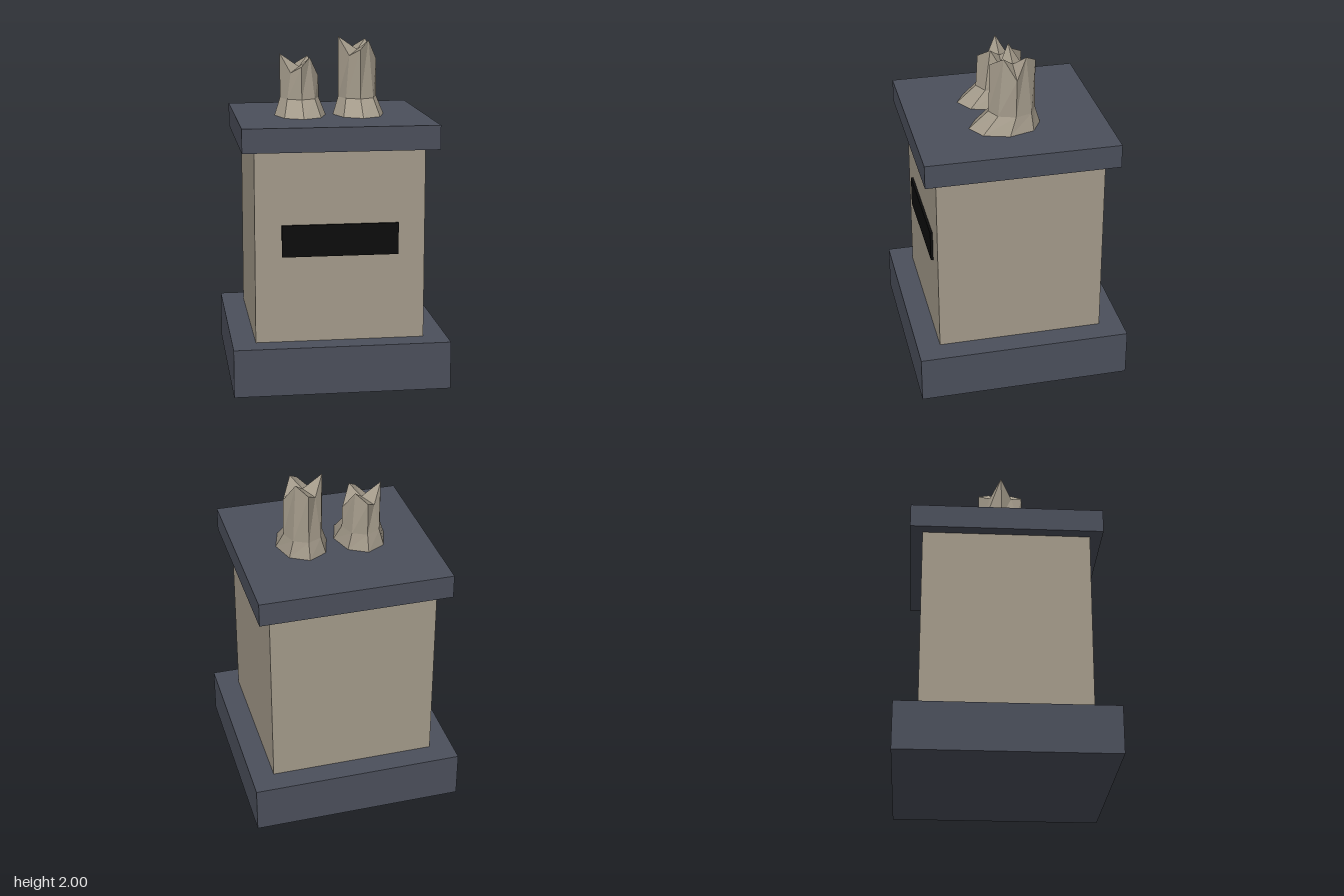
import * as THREE from 'three';

const slate = new THREE.MeshStandardMaterial({ color: 0x4b4f5b });
slate.name = 'slate';
const stone = new THREE.MeshStandardMaterial({ color: 0xa39a8a, flatShading: true });
stone.name = 'stone';
const black = new THREE.MeshStandardMaterial({ color: 0x0c0c0c });
black.name = 'black';

function block(name, material, w, h, d, y, z = 0) {
  const mesh = new THREE.Mesh(new THREE.BoxGeometry(w, h, d), material);
  mesh.name = name;
  mesh.position.set(0, y + h / 2, z);
  return mesh;
}

// Eight-sided broken foot: flared sole, ankle, jagged top sinking to a centre point
function brokenFoot(name, x, lowered) {
  const SIDES = 8;
  const jagged = [1.865, 1.98, 1.93, 1.89, 2.0, 1.89, 1.935, 1.98];
  const rings = [
    { rx: 0.153, rz: 0.21, z: 0.027, diagonal: 0.707, y: () => 1.54 },
    { rx: 0.116, rz: 0.138, z: -0.015, diagonal: 0.707, y: () => 1.64 },
    { rx: 0.115, rz: 0.132, z: -0.02, diagonal: 0.5, y: (i) => jagged[i] - lowered },
  ];
  const points = [];
  for (const r of rings) {
    for (let i = 0; i < SIDES; i++) {
      const k = i % 2 ? r.diagonal : 1;
      const sx = Math.sign(Math.round(Math.cos(i * Math.PI / 4) * 2));
      const sz = Math.sign(Math.round(Math.sin(i * Math.PI / 4) * 2));
      points.push(sx * k * r.rx, r.y(i), r.z + sz * k * r.rz);
    }
  }
  const centre = points.length / 3;
  points.push(0, 1.92 - lowered, -0.02);

  const index = [];
  for (let i = 0; i < SIDES; i++) {
    const j = (i + 1) % SIDES;
    for (let r = 0; r < 2; r++) {
      const a = r * SIDES + i, b = r * SIDES + j;
      index.push(a, a + SIDES, b, b, a + SIDES, b + SIDES);
    }
    index.push(centre, 2 * SIDES + j, 2 * SIDES + i);
  }
  const indexed = new THREE.BufferGeometry();
  indexed.setAttribute('position', new THREE.Float32BufferAttribute(points, 3));
  indexed.setIndex(index);
  const geometry = indexed.toNonIndexed();
  geometry.computeVertexNormals();

  const mesh = new THREE.Mesh(geometry, stone);
  mesh.name = name;
  mesh.position.x = x;
  return mesh;
}

export function createModel() {
  const model = new THREE.Group();
  model.name = 'brokenStatuePedestal';
  model.add(
    block('base', slate, 1.26, 0.28, 1.26, 0),
    block('column', stone, 0.985, 1.12, 0.985, 0.28),
    block('cap', slate, 1.13, 0.14, 1.13, 1.4),
    block('plaque', black, 0.676, 0.185, 0.016, 0.785, 0.499),
    brokenFoot('leftFoot', 0.173, 0),
    brokenFoot('rightFoot', -0.177, 0.098),
  );
  return model;
}
